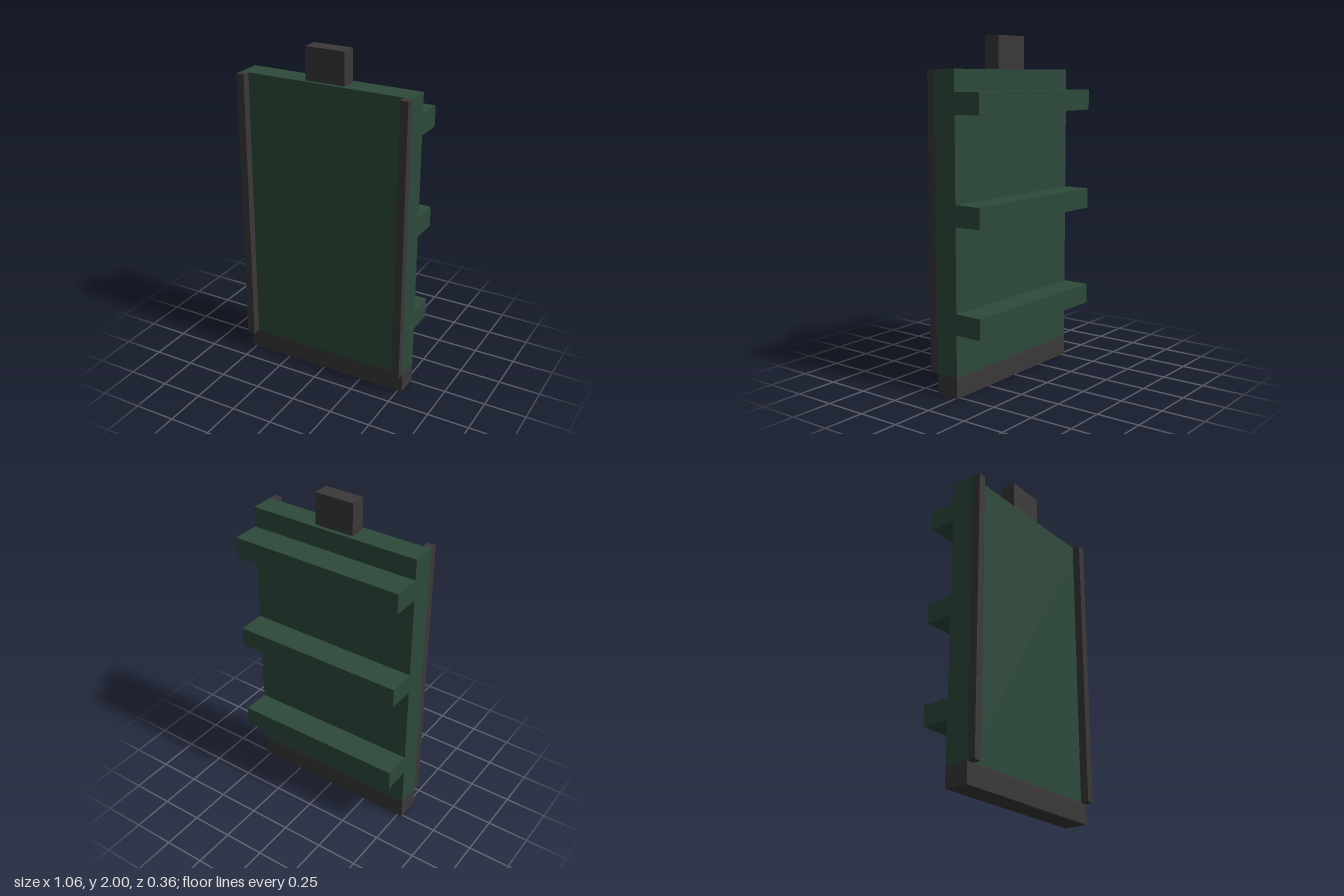
import * as THREE from 'three';

const green = new THREE.MeshStandardMaterial({ name: 'dark green', color: 0x2d4a3a });
const charcoal = new THREE.MeshStandardMaterial({ name: 'charcoal', color: 0x3a3838 });

// Box spanning two opposite corners
function addBox(group, name, material, [x0, y0, z0], [x1, y1, z1]) {
  const mesh = new THREE.Mesh(new THREE.BoxGeometry(x1 - x0, y1 - y0, z1 - z0), material);
  mesh.position.set((x0 + x1) / 2, (y0 + y1) / 2, (z0 + z1) / 2);
  mesh.name = name;
  group.add(mesh);
}

export function createModel() {
  const group = new THREE.Group();
  group.name = 'ribbedPanel';
  const half = 0.528, back = -0.012, front = 0.13, sill = 0.12, top = 1.81;

  // Main slab on its base strip, with a tab on top
  addBox(group, 'panel', green, [-half, sill, back], [half, top, front]);
  addBox(group, 'baseStrip', charcoal, [-half, 0, back], [half, sill, front]);
  addBox(group, 'topTab', charcoal, [-0.12, top, 0.012], [0.12, 2, 0.108]);

  // Upright rails along the front edges
  addBox(group, 'leftRail', charcoal, [half - 0.048, sill, front], [half, top, 0.179]);
  addBox(group, 'rightRail', charcoal, [-half, sill, front], [-half + 0.048, top, 0.179]);

  // Horizontal ribs across the back
  for (const y of [0.423, 1.026, 1.629]) {
    addBox(group, 'backRib', green, [-half, y - 0.06, -0.179], [half, y + 0.06, back]);
  }
  return group;
}
